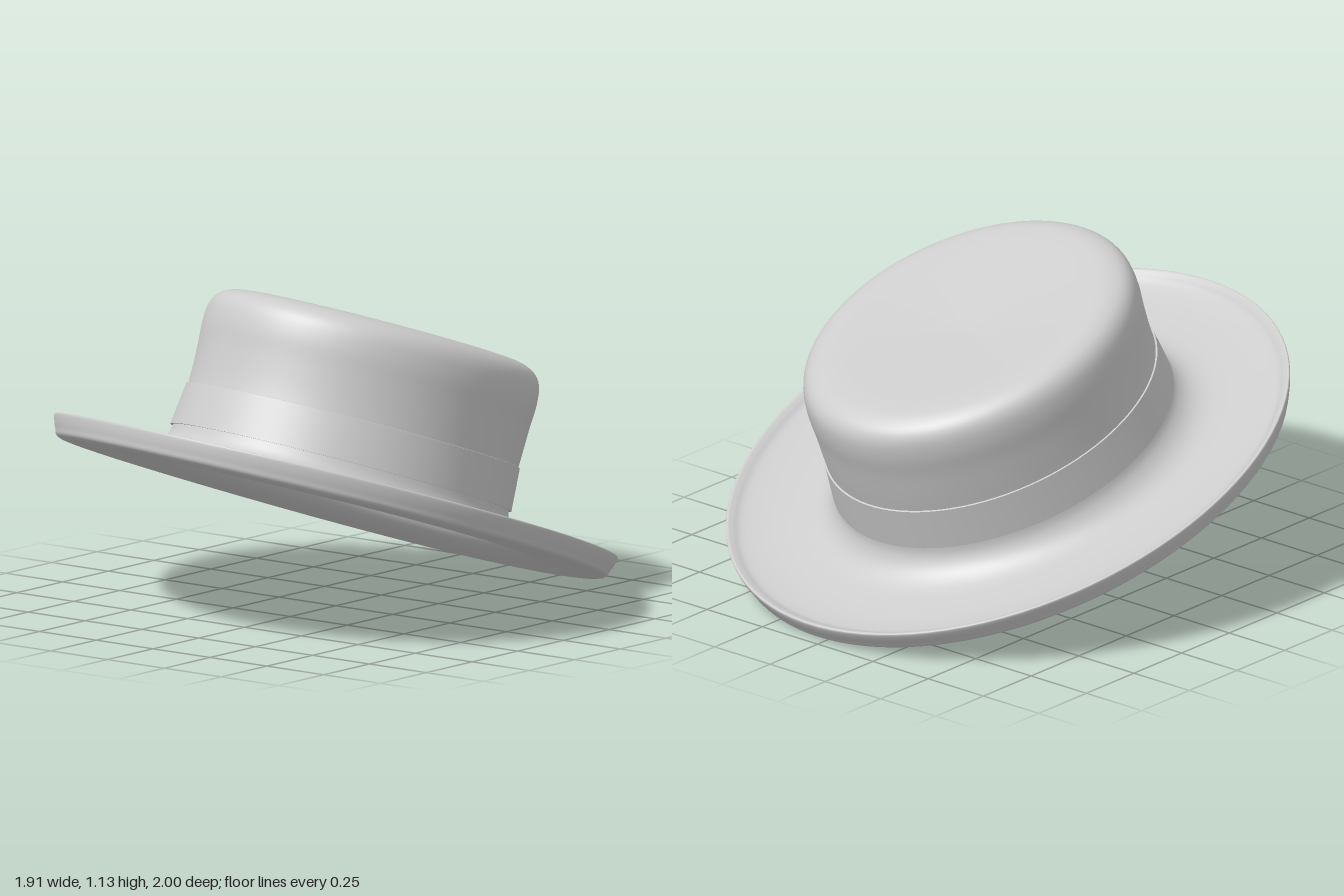
import * as THREE from 'three';
import { mergeVertices } from 'three/addons/utils/BufferGeometryUtils.js';

const felt = new THREE.MeshStandardMaterial({ color: 0xcccccc });
felt.name = 'light grey felt';

// Lathe a profile of [radius, height], then squeeze it into the oval of a head
function ovalLathe(points) {
  const lathe = new THREE.LatheGeometry(points, 96);
  lathe.deleteAttribute('uv');
  lathe.deleteAttribute('normal');
  const pos = lathe.attributes.position;
  for (let i = 0; i < pos.count; i++) {
    const x = pos.getX(i), y = pos.getY(i), z = pos.getZ(i);
    const r = Math.hypot(x, z);
    const squeeze = r > 0.645 ? (r - 0.087 - 0.04 * (r - 0.645)) / r : 0.865;
    // the brim lifts a little at the sides, the crown leans slightly back
    const side = r > 0 ? (x / r) ** 2 : 0;
    const lift = 0.015 * side * THREE.MathUtils.smoothstep(r, 0.7, 1.05);
    const lean = 0.012 * THREE.MathUtils.smoothstep(y, 0.05, 0.3);
    pos.setXYZ(i, x * squeeze, y + lift, z - lean);
  }
  const geometry = mergeVertices(lathe, 1e-5);
  geometry.computeVertexNormals();
  return geometry;
}

const toPoints = (list) => list.map(([r, h]) => new THREE.Vector2(r, h));

function addPart(parent, name, geometry) {
  const mesh = new THREE.Mesh(geometry, felt);
  mesh.name = name;
  parent.add(mesh);
}

export function createModel() {
  const model = new THREE.Group();
  model.name = 'hat';

  // Hat tilted back and rolled slightly to one side
  const tilted = new THREE.Group();
  tilted.name = 'tiltedHat';
  tilted.position.y = 0.416;
  tilted.rotation.set(-0.335, 0, -0.05);
  model.add(tilted);

  // Crown and brim as one hollow shell: lining, underside, rim, top, dented crown
  const shell = new THREE.SplineCurve(toPoints([
    [0, 0.49], [0.3, 0.512], [0.5, 0.535], [0.585, 0.52], [0.617, 0.46],
    [0.622, 0.3], [0.626, 0.1], [0.64, 0.02], [0.68, -0.035], [0.76, -0.065],
    [0.9, -0.083], [1.02, -0.08], [1.045, -0.05], [1.059, -0.008], [1.052, 0],
    [1.036, -0.008], [1.0, -0.028], [0.9, -0.042], [0.78, -0.04], [0.71, -0.02],
    [0.665, 0.02], [0.645, 0.075], [0.636, 0.2], [0.638, 0.35], [0.643, 0.45],
    [0.63, 0.52], [0.585, 0.56], [0.5, 0.573], [0.3, 0.555], [0, 0.525],
  ]));
  addPart(tilted, 'crownAndBrim', ovalLathe(shell.getPoints(140)));

  // Band around the foot of the crown, with separate faces for crisp edges
  const band = [[0.64, 0.07], [0.656, 0.07], [0.642, 0.22], [0.632, 0.222]];
  const names = ['bandLowerEdge', 'band', 'bandUpperEdge'];
  names.forEach((name, i) => {
    addPart(tilted, name, ovalLathe(toPoints(band.slice(i, i + 2))));
  });

  return model;
}
